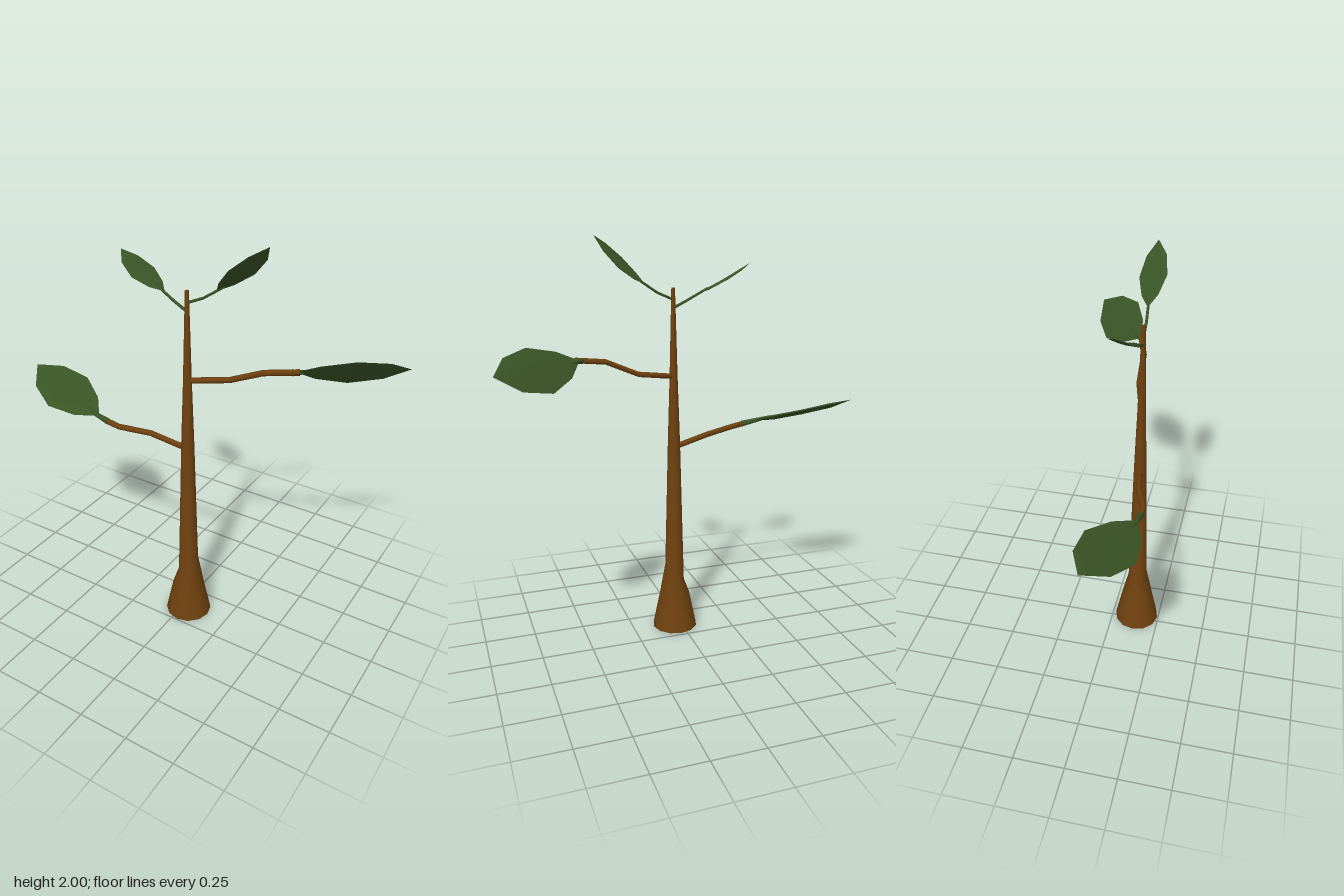
import * as THREE from 'three';
import { toCreasedNormals } from 'three/addons/utils/BufferGeometryUtils.js';

const bark = new THREE.MeshStandardMaterial({ color: 0x6f410f });
bark.name = 'barkBrown';
const green = new THREE.MeshStandardMaterial({ color: 0x3a5426 });
green.name = 'leafGreen';

const vec = (p) => new THREE.Vector3(...p);

function mesh(name, geometry, material) {
  const m = new THREE.Mesh(geometry, material);
  m.name = name;
  return m;
}

function build(positions, index) {
  const g = new THREE.BufferGeometry();
  g.setAttribute('position', new THREE.Float32BufferAttribute(positions, 3));
  g.setIndex(index);
  g.computeVertexNormals();
  return g;
}

// Tapered tube lofted through bent points, with closed ends
function taperedTube(points, r0, r1, sides = 6) {
  const pts = points.map(vec), pos = [], idx = [], last = pts.length - 1;
  pts.forEach((p, i) => {
    const dir = pts[Math.min(i + 1, last)].clone().sub(pts[Math.max(i - 1, 0)]).normalize();
    const side = dir.clone().cross(new THREE.Vector3(0, 1, 0)).normalize();
    const up = side.clone().cross(dir);
    const r = r0 + (r1 - r0) * (i / last);
    for (let k = 0; k < sides; k++) {
      const a = (k / sides) * Math.PI * 2;
      pos.push(...p.clone().addScaledVector(side, Math.cos(a) * r).addScaledVector(up, Math.sin(a) * r));
      if (i < last) {
        const n = (k + 1) % sides, b = i * sides;
        idx.push(b + k, b + sides + n, b + n, b + k, b + sides + k, b + sides + n);
      }
    }
  });
  for (let k = 1; k < sides - 1; k++) {
    const e = last * sides;
    idx.push(0, k, k + 1, e, e + k + 1, e + k);
  }
  return build(pos, idx);
}

// Leaf outline: position along the midrib and share of the full half-width
const outline = [[0, 0], [0.2, 0.6], [0.49, 1], [0.79, 0.72], [1, 0]];

// Thin lens-shaped blade; halfWidth points from the midrib to the left edge
function blade(base, tip, halfWidth, thickness) {
  const start = vec(base), end = vec(tip), half = vec(halfWidth);
  const normal = end.clone().sub(start).cross(half).normalize();
  const pos = [], idx = [], last = outline.length - 2;
  [1, -1].forEach((s) => {
    const first = pos.length / 3;
    outline.forEach(([t, w], i) => {
      const rib = start.clone().lerp(end, t);
      rib.y -= 0.01 * w; // slight sag
      const middle = rib.clone().addScaledVector(normal, s * thickness * Math.min(1, w * 2));
      pos.push(...rib.clone().addScaledVector(half, w), ...middle, ...rib.clone().addScaledVector(half, -w));
      if (i > last) return;
      for (let c = 0; c < 2; c++) {
        const a = first + i * 3 + c, b = a + 1, d = a + 3, e = a + 4;
        if (i > 0) idx.push(...(s > 0 ? [b, d, a] : [b, a, d]));
        if (i < last) idx.push(...(s > 0 ? [b, e, d] : [b, d, e]));
      }
    });
  });
  return build(pos, idx);
}

// Flared trunk with an uneven shoulder
function trunkGeometry() {
  const profile = [[0, 0], [0.115, 0], [0.08, 0.17], [0.049, 0.3], [0.031, 1], [0.02, 1.33], [0.009, 1.755], [0, 1.755]];
  const g = new THREE.LatheGeometry(profile.map(([r, y]) => new THREE.Vector2(r, y)), 12);
  const p = g.attributes.position;
  for (let i = 0; i < p.count; i++) {
    if (Math.abs(p.getY(i) - 0.3) < 0.01) p.setY(i, 0.3 + p.getX(i) * 0.9);
  }
  g.translate(0.03, 0, 0.13);
  return toCreasedNormals(g, 0.9);
}

// Limb: optional bark branch, then a green stem running into its leaf
function limb(name, { branch, stem, stemRadius, base, tip, halfWidth, thickness }) {
  const group = new THREE.Group();
  group.name = name;
  if (branch) group.add(mesh('branch', taperedTube(branch, 0.014, 0.014), bark));
  group.add(mesh('leafStem', taperedTube(stem, stemRadius, 0.006), green));
  group.add(mesh('leaf', blade(base, tip, halfWidth, thickness), green));
  return group;
}

export function createModel() {
  const model = new THREE.Group();
  model.name = 'sapling';
  model.add(mesh('trunk', trunkGeometry(), bark));

  // Two long branches with large leaves
  model.add(limb('leftMiddleLimb', {
    branch: [[0.03, 1.33, 0.13], [0.22, 1.36, 0.08], [0.38, 1.43, 0.07], [0.53, 1.452, 0.025]],
    stem: [[0.5, 1.447, 0.035], [0.56, 1.448, -0.01]],
    stemRadius: 0.0155,
    base: [0.51, 1.45, 0.03], tip: [0.925, 1.45, -0.26],
    halfWidth: [-0.045, -0.09, -0.075], thickness: 0.012,
  }));
  model.add(limb('rightLowerLimb', {
    branch: [[0.03, 0.972, 0.13], [-0.16, 1.015, 0.16], [-0.31, 1.03, 0.21], [-0.39, 1.044, 0.213]],
    stem: [[-0.37, 1.041, 0.213], [-0.46, 1.058, 0.205], [-0.52, 1.075, 0.185]],
    stemRadius: 0.0155,
    base: [-0.43, 1.054, 0.208], tip: [-0.93, 1.157, 0.075],
    halfWidth: [-0.035, -0.04, 0.116], thickness: 0.012,
  }));

  // Two small leaves on thin stems at the top
  model.add(limb('leftTopLimb', {
    stem: [[0.03, 1.7, 0.13], [0.11, 1.735, 0.127], [0.21, 1.802, 0.118]],
    stemRadius: 0.007,
    base: [0.17, 1.775, 0.12], tip: [0.41, 2, 0.12],
    halfWidth: [0.025, -0.022, -0.068], thickness: 0.006,
  }));
  model.add(limb('rightTopLimb', {
    stem: [[0.03, 1.66, 0.13], [-0.04, 1.695, 0.127], [-0.14, 1.75, 0.118]],
    stemRadius: 0.007,
    base: [-0.09, 1.725, 0.12], tip: [-0.345, 1.867, 0.085],
    halfWidth: [-0.012, -0.005, 0.07], thickness: 0.006,
  }));
  return model;
}
